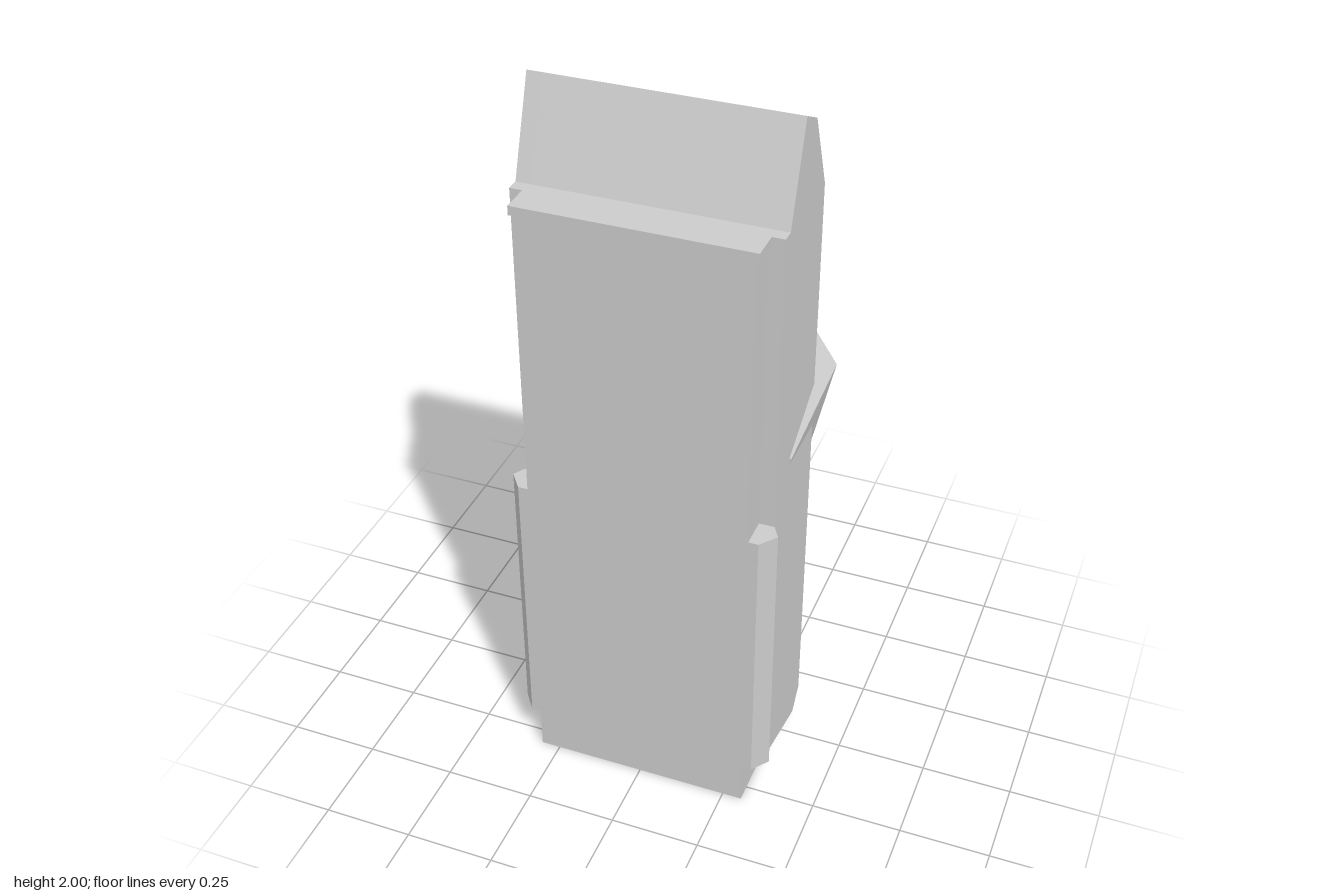
import * as THREE from 'three';

const mat = new THREE.MeshStandardMaterial({ color: 0xcccccc, flatShading: true });
const thin = new THREE.MeshStandardMaterial({ color: 0xcccccc, side: THREE.DoubleSide });

export function createModel() {
  const group = new THREE.Group();

  const add = (name, geometry, material = mat) => {
    const mesh = new THREE.Mesh(geometry, material);
    mesh.name = name;
    group.add(mesh);
  };
  const extrude = (points, depth) => new THREE.ExtrudeGeometry(
    new THREE.Shape(points.map(([a, b]) => new THREE.Vector2(a, b))),
    { depth, bevelEnabled: false });
  // prism across x from a [z, y] side profile
  const sidePrism = (profile, x0, x1) =>
    extrude(profile, x1 - x0).rotateY(-Math.PI / 2).translate(x1, 0, 0);
  // prism up y from an [x, z] plan profile
  const planPrism = (profile, y0, y1) =>
    extrude(profile.map(([x, z]) => [x, -z]), y1 - y0).rotateX(-Math.PI / 2).translate(0, y0, 0);

  // main body: wedge top, with a raised underside between two side cheeks
  const upper = [[0.215, 1.75], [0.18, 1.75], [0.09, 2], [0.01, 1.96], [-0.08, 1.75]];
  add('body', sidePrism([...upper, [-0.08, 0.14], [-0.055, 0.085], [0.215, 0.11]], -0.306, 0.306));
  const cheek = [...upper, [-0.08, 0.11], [-0.03, 0.055], [0.215, 0.11]];
  add('leftCheek', sidePrism(cheek, 0.306, 0.346));
  add('rightCheek', sidePrism(cheek, -0.346, -0.306));

  // front panel with its foot, and a slight lip along the top
  add('frontPanel', sidePrism(
    [[0.297, 0], [0.297, 1.725], [0.215, 1.725], [0.215, 0.11], [0.1, 0.11], [0.1, 0]], -0.304, 0.304));
  add('panelLip', new THREE.BoxGeometry(0.624, 0.025, 0.082).translate(0, 1.7375, 0.256));

  // pointed grip rails on the lower sides
  const rail = [[0.304, 0.215], [0.346, 0.215], [0.367, 0.25], [0.331, 0.297], [0.304, 0.297]];
  for (const s of [1, -1]) {
    add(s > 0 ? 'leftRail' : 'rightRail', planPrism(rail.map(([x, z]) => [s * x, z]), 0.125, 0.92));
  }

  // back housing: rows of [half width, y, z], from inside the body to the bevelled rear
  const rings = [
    [[0.11, 1.42, 0.11], [0.35, 1.06, 0.11], [0.282, 0.76, 0.11], [0.247, 0.6, 0.11], [0.222, 0.49, 0.11]],
    [[0.21, 1.43, -0.175], [0.377, 1.18, -0.175], [0.282, 0.76, -0.175], [0.247, 0.6, -0.137], [0.222, 0.49, -0.137]],
    [[0.205, 1.425, -0.185], [0.37, 1.18, -0.185], [0.276, 0.765, -0.185], [0.241, 0.6, -0.145], [0.217, 0.495, -0.145]],
  ];
  const positions = [];
  const quad = (a, b, c, d) => positions.push(...a, ...c, ...b, ...a, ...d, ...c);
  const flip = ([x, y, z]) => [-x, y, z];
  const loop = rows => [...rows, ...rows.map(flip).reverse()];
  for (let r = 0; r < 2; r++) {
    const a = loop(rings[r]), b = loop(rings[r + 1]), n = a.length;
    for (let i = 0; i < n; i++) {
      const j = (i + 1) % n;
      quad(a[i], b[i], b[j], a[j]);
    }
  }
  const [front, , rear] = rings;
  for (let i = 0; i < 4; i++) {
    quad(rear[i], flip(rear[i]), flip(rear[i + 1]), rear[i + 1]);
    quad(front[i], front[i + 1], flip(front[i + 1]), flip(front[i]));
  }
  const housing = new THREE.BufferGeometry();
  housing.setAttribute('position', new THREE.Float32BufferAttribute(positions, 3));
  housing.computeVertexNormals();
  add('backHousing', housing);

  // small catch on top of the housing
  add('catchBase', sidePrism([[-0.07, 1.4], [-0.07, 1.442], [-0.12, 1.434], [-0.12, 1.4]], -0.086, 0.086));
  add('catchTab', planPrism(
    [[-0.035, -0.07], [-0.035, -0.09], [0, -0.098], [0.035, -0.09], [0.035, -0.07]], 1.42, 1.446));

  // twelve-sided dial with a thin fin
  add('dial', new THREE.CylinderGeometry(0.295, 0.295, 0.03, 12)
    .rotateX(Math.PI / 2).translate(0, 1.055, -0.194));
  add('dialFin', new THREE.PlaneGeometry(0.154, 0.095)
    .rotateX(-Math.PI / 2).translate(0, 1.14, -0.2525), thin);

  return group;
}
